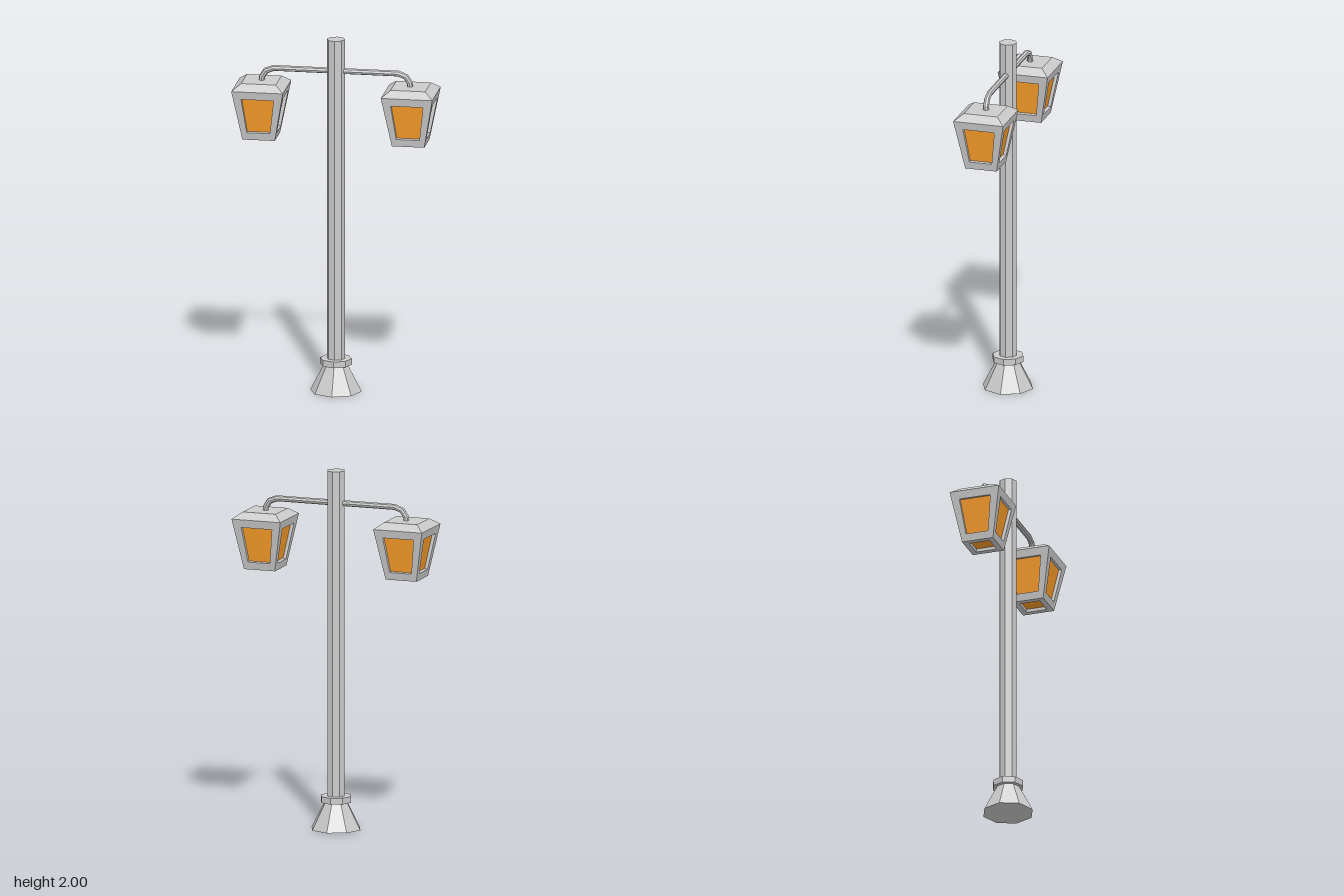
import * as THREE from 'three';

const grey = new THREE.MeshStandardMaterial({ color: 0xcccccc, flatShading: true, side: THREE.DoubleSide });
const amber = new THREE.MeshStandardMaterial({ color: 0xff9f2a, flatShading: true, side: THREE.DoubleSide });

function add(parent, name, geometry, material = grey) {
  const mesh = new THREE.Mesh(geometry, material);
  mesh.name = name;
  parent.add(mesh);
  return mesh;
}

// Octagonal prism or frustum standing between two heights
function octagon(parent, name, rTop, rBottom, y0, y1) {
  const mesh = add(parent, name, new THREE.CylinderGeometry(rTop, rBottom, y1 - y0, 8));
  mesh.position.y = (y0 + y1) / 2;
}

// Geometry from a list of four-cornered faces (counter-clockwise from outside)
function quads(list) {
  const pos = [];
  for (const [a, b, c, d] of list) for (const v of [a, b, c, a, c, d]) pos.push(v.x, v.y, v.z);
  const g = new THREE.BufferGeometry();
  g.setAttribute('position', new THREE.Float32BufferAttribute(pos, 3));
  g.computeVertexNormals();
  return g;
}

// Frame with a recessed pane: outer border, reveal and glass
function framedPane(parent, name, outer, inner, depth) {
  const normal = outer[1].clone().sub(outer[0]).cross(outer[2].clone().sub(outer[0])).normalize();
  const back = inner.map((v) => v.clone().addScaledVector(normal, -depth));
  const faces = [];
  for (let i = 0; i < 4; i++) {
    const j = (i + 1) % 4;
    faces.push([outer[i], outer[j], inner[j], inner[i]], [inner[i], inner[j], back[j], back[i]]);
  }
  const group = new THREE.Group();
  group.name = name;
  add(group, name + 'Frame', quads(faces));
  add(group, name + 'Glass', quads([back]), amber);
  parent.add(group);
  return group;
}

const V = (x, y, z) => new THREE.Vector3(x, y, z);

// Symmetric trapezoid leaning outwards towards +z
const trapezoid = (w0, y0, z0, w1, y1, z1) => [V(-w0, y0, z0), V(w0, y0, z0), V(w1, y1, z1), V(-w1, y1, z1)];

function makeLantern(name, x) {
  const lantern = new THREE.Group();
  lantern.name = name;
  lantern.position.x = x;
  // Four glazed sides
  for (let i = 0; i < 4; i++) {
    framedPane(lantern, 'lanternSide',
      trapezoid(0.09, 1.43, 0.09, 0.143, 1.715, 0.143),
      trapezoid(0.064, 1.472, 0.0978, 0.09, 1.67, 0.1346), 0.018).rotation.y = i * Math.PI / 2;
  }
  // Glazed bottom
  const square = (h) => [V(-h, 1.43, -h), V(h, 1.43, -h), V(h, 1.43, h), V(-h, 1.43, h)];
  framedPane(lantern, 'lanternBottom', square(0.09), square(0.058), 0.018);
  // Shallow hipped roof
  const roof = new THREE.CylinderGeometry(0.096 * Math.SQRT2, 0.143 * Math.SQRT2, 0.035, 4);
  roof.rotateY(Math.PI / 4).translate(0, 1.7325, 0);
  add(lantern, 'lanternRoof', roof);
  return lantern;
}

// Mitred tube along a path lying in the xy plane
function mitredTube(path, radius, sides) {
  const rings = path.map((p, i) => {
    const before = path[Math.max(i - 1, 0)], after = path[Math.min(i + 1, path.length - 1)];
    const t1 = i ? p.clone().sub(before).normalize() : after.clone().sub(p).normalize();
    const t2 = i < path.length - 1 ? after.clone().sub(p).normalize() : t1;
    const t = t1.clone().add(t2).normalize();
    const miter = radius / t.dot(t1);
    return Array.from({ length: sides }, (_, k) => {
      const a = (k / sides) * Math.PI * 2;
      return V(p.x - t.y * miter * Math.cos(a), p.y + t.x * miter * Math.cos(a), radius * Math.sin(a));
    });
  });
  const faces = [];
  for (let i = 0; i < rings.length - 1; i++) {
    for (let k = 0; k < sides; k++) {
      const n = (k + 1) % sides;
      faces.push([rings[i][k], rings[i][n], rings[i + 1][n], rings[i + 1][k]]);
    }
  }
  return quads(faces);
}

export function createModel() {
  const model = new THREE.Group();
  model.name = 'streetLamp';

  // Post
  octagon(model, 'base', 0.065, 0.143, 0, 0.15);
  octagon(model, 'collar', 0.0875, 0.0875, 0.15, 0.185);
  octagon(model, 'pole', 0.05, 0.05, 0.15, 2);

  // Crossarm, bent down at both ends
  const half = [[0.345, 1.82], [0.388, 1.804], [0.41, 1.77], [0.414, 1.735]];
  const path = [
    ...half.slice().reverse().map(([x, y]) => V(-x, y, 0)),
    ...half.map(([x, y]) => V(x, y, 0)),
  ];
  add(model, 'crossarm', mitredTube(path, 0.0165, 8));

  // Lanterns
  model.add(makeLantern('leftLantern', 0.415), makeLantern('rightLantern', -0.415));
  return model;
}
